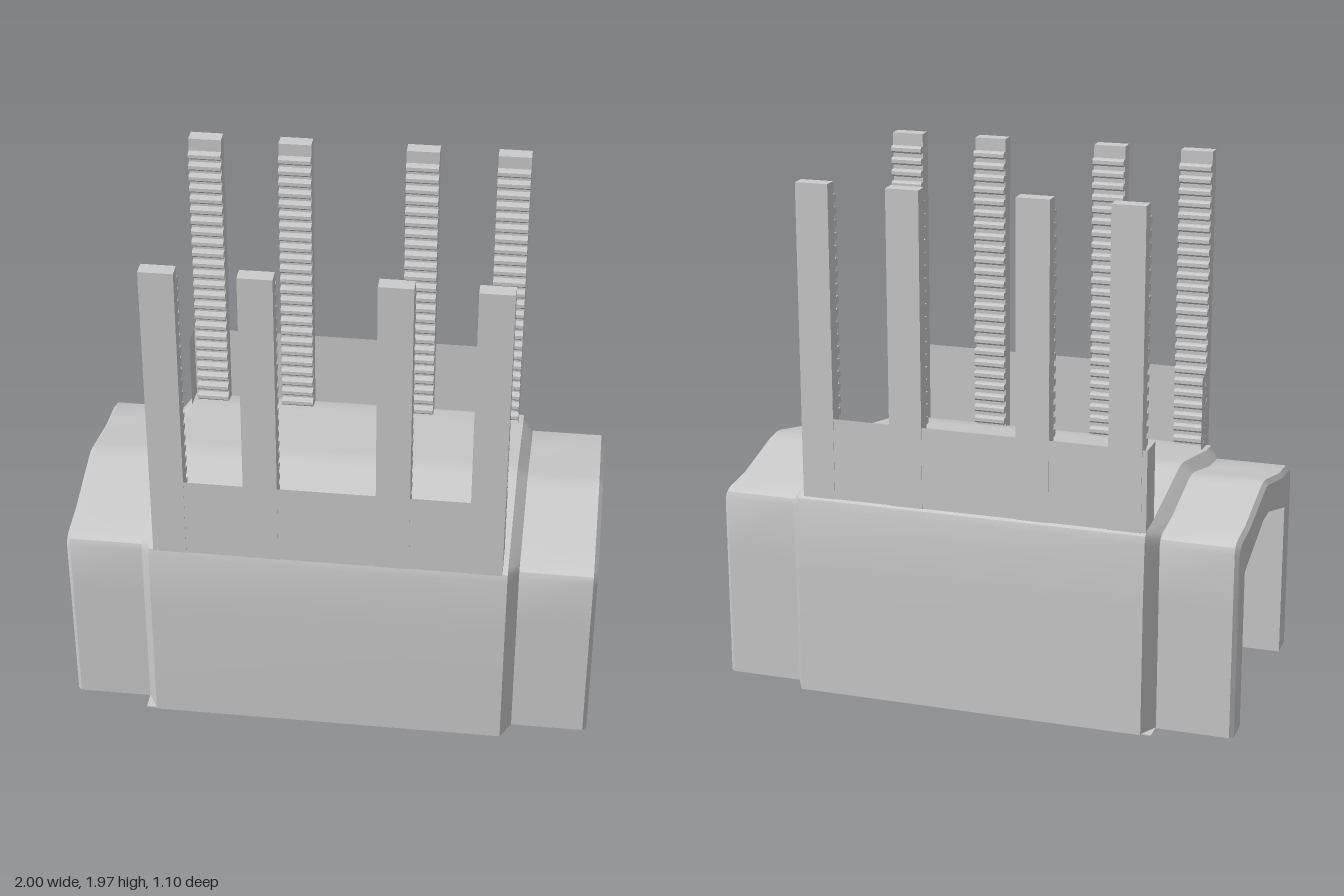
import * as THREE from 'three';
import { toCreasedNormals } from 'three/addons/utils/BufferGeometryUtils.js';

const solid = new THREE.MeshStandardMaterial({ color: 0xcccccc });
const sheet = new THREE.MeshStandardMaterial({ color: 0xcccccc, side: THREE.DoubleSide });

function mesh(name, geometry, material = solid) {
  const m = new THREE.Mesh(geometry, material);
  m.name = name;
  return m;
}

// Half profiles as [z, y], from the ground up to the ridge
const HALL = [[0.55, 0], [0.547, 0.5], [0.538, 0.74], [0.53, 0.77], [0.505, 0.785], [0.42, 0.792], [0.05, 0.865], [0, 0.87]];
const PORCH = [[0.475, 0], [0.475, 0.5], [0.475, 0.715], [0.466, 0.74], [0.44, 0.755], [0.3, 0.768], [0.05, 0.828], [0, 0.833]];
const ARCH = [[0.36, 0], [0.36, 0.61], [0.05, 0.7], [0, 0.7]];

const mirrored = (half) => [...half, ...half.slice(0, -1).reverse().map(([z, y]) => [-z, y])];
const inset = (half, d) => half.map(([z, y]) => [Math.max(0, z - d), y > 0.6 ? y - d : y]);

// Skin stretched over profiles placed along x
function loft(stations, crease = 0.5) {
  const pos = [], index = [];
  const n = stations[0][1].length;
  for (const [x, profile] of stations) for (const [z, y] of profile) pos.push(x, y, z);
  for (let i = 0; i < stations.length - 1; i++) {
    for (let j = 0; j < n - 1; j++) {
      const a = i * n + j, b = a + 1, d = a + n, c = d + 1;
      index.push(a, d, c, a, c, b);
    }
  }
  const g = new THREE.BufferGeometry();
  g.setAttribute('position', new THREE.Float32BufferAttribute(pos, 3));
  g.setIndex(index);
  return toCreasedNormals(g, crease);
}

const shapeOf = (points) => new THREE.Shape(points.map(([u, v]) => new THREE.Vector2(u, v)));

// Shape drawn in the z-y plane (u = -z), extruded towards +x
function extrudeX(shape, x, depth, bevel = 0) {
  return new THREE.ExtrudeGeometry(shape, {
    depth, bevelEnabled: bevel > 0, bevelThickness: bevel, bevelSize: bevel, bevelOffset: -bevel, bevelSegments: 1,
  }).rotateY(Math.PI / 2).translate(x, 0, 0);
}

// Porch mouth with its double door, facing +x
function porchEnd() {
  const g = new THREE.Group();
  g.name = 'porchEnd';

  const outer = mirrored(inset(PORCH, 0.015));
  const mouth = mirrored(ARCH);
  const rim = shapeOf([...outer, ...mouth.slice().reverse()]);
  const face = new THREE.ShapeGeometry(rim).rotateY(Math.PI / 2).translate(1, 0, 0);
  g.add(mesh('porchRim', face, sheet));
  g.add(mesh('porchLining', loft([[0.74, mouth], [1, mouth]]), sheet));
  g.add(mesh('doorBacking', extrudeX(shapeOf(mouth), 0.735, 0.015)));

  // Thin casing following the arch
  const casing = shapeOf([...mouth, ...mirrored(inset(ARCH, 0.014)).reverse()]);
  g.add(mesh('doorCasing', extrudeX(casing, 0.75, 0.03)));

  for (const s of [-1, 1]) {
    const side = (pts) => pts.map(([u, v]) => [u * s, v]);
    const lower = [[0.052, 0.025], [0.333, 0.025], [0.333, 0.465], [0.052, 0.535]];
    const upper = [[0.052, 0.56], [0.333, 0.495], [0.333, 0.595], [0.052, 0.672]];
    const leaf = shapeOf(side([[0.012, 0], [0.346, 0], [0.346, 0.6], [0.05, 0.686], [0.012, 0.686]]));
    leaf.holes.push(shapeOf(side(lower)), shapeOf(side(upper)));
    g.add(mesh('doorLeaf', extrudeX(leaf, 0.75, 0.02)));
    // Raised fields inside the leaf
    const shrink = (pts, d) => pts.map(([u, v], i) => [u + (i === 0 || i === 3 ? d : -d), v + (i < 2 ? d : -d)]);
    g.add(mesh('lowerDoorPanel', extrudeX(shapeOf(side(shrink(lower, 0.014))), 0.75, 0.004, 0.012)));
    g.add(mesh('upperDoorPanel', extrudeX(shapeOf(side(shrink(upper, 0.01))), 0.75, 0.004, 0.01)));
  }
  return g;
}

// Toothed upright, back face at z = 0 and teeth towards -z
function rackGeometry() {
  const pts = [[0, 0.77], [0.057, 0.77]];
  const step = 0.0475, tall = 0.028;
  for (let y = 0.8; y < 1.93; y += step) {
    pts.push([0.057, y], [0.076, y], [0.082, y + 0.007], [0.082, y + tall - 0.007], [0.076, y + tall], [0.057, y + tall]);
  }
  pts.push([0.057, 1.97], [0, 1.97]);
  return extrudeX(shapeOf(pts), -0.0625, 0.125);
}

// Uprights with the open channel that joins their feet
function rackRow(name, zOuter, facing, xMin) {
  const g = new THREE.Group();
  g.name = name;
  const rack = rackGeometry();
  for (const x of [-0.588, -0.243, 0.243, 0.588]) {
    const post = mesh('toothedPost', rack);
    post.position.set(x, 0, zOuter);
    if (facing < 0) post.rotation.y = Math.PI;
    g.add(post);
  }
  const xMax = 0.65, h = 0.32, y = 0.93;
  const depth = Math.abs(zOuter) - 0.41;
  const web = mesh('channelWeb', new THREE.PlaneGeometry(xMax - xMin, h), sheet);
  web.position.set((xMin + xMax) / 2, y, zOuter - facing * 0.002);
  g.add(web);
  for (const x of [xMin, xMax]) {
    const end = mesh('channelEnd', new THREE.PlaneGeometry(depth, h).rotateY(Math.PI / 2), sheet);
    end.position.set(x, y, zOuter - facing * depth / 2);
    g.add(end);
  }
  return g;
}

export function createModel() {
  const model = new THREE.Group();
  model.name = 'gatedHall';

  // Outer skin: porch, chamfered step, wide hall, step, porch
  const hall = mirrored(HALL), porch = mirrored(PORCH), lip = mirrored(inset(PORCH, 0.015));
  model.add(mesh('hallShell', loft([
    [-1, lip], [-0.985, porch], [-0.71, porch], [-0.67, hall],
    [0.67, hall], [0.71, porch], [0.985, porch], [1, lip],
  ]), sheet));

  const floor = mesh('floorPlate', new THREE.BoxGeometry(1.38, 0.004, 1.09));
  floor.position.set(-0.02, 0.002, 0);
  model.add(floor);

  const right = porchEnd();
  const left = porchEnd();
  left.rotation.y = Math.PI;
  model.add(right, left);

  model.add(rackRow('frontRacks', 0.537, 1, -0.65));
  model.add(rackRow('backRacks', -0.52, -1, -0.67));
  return model;
}
